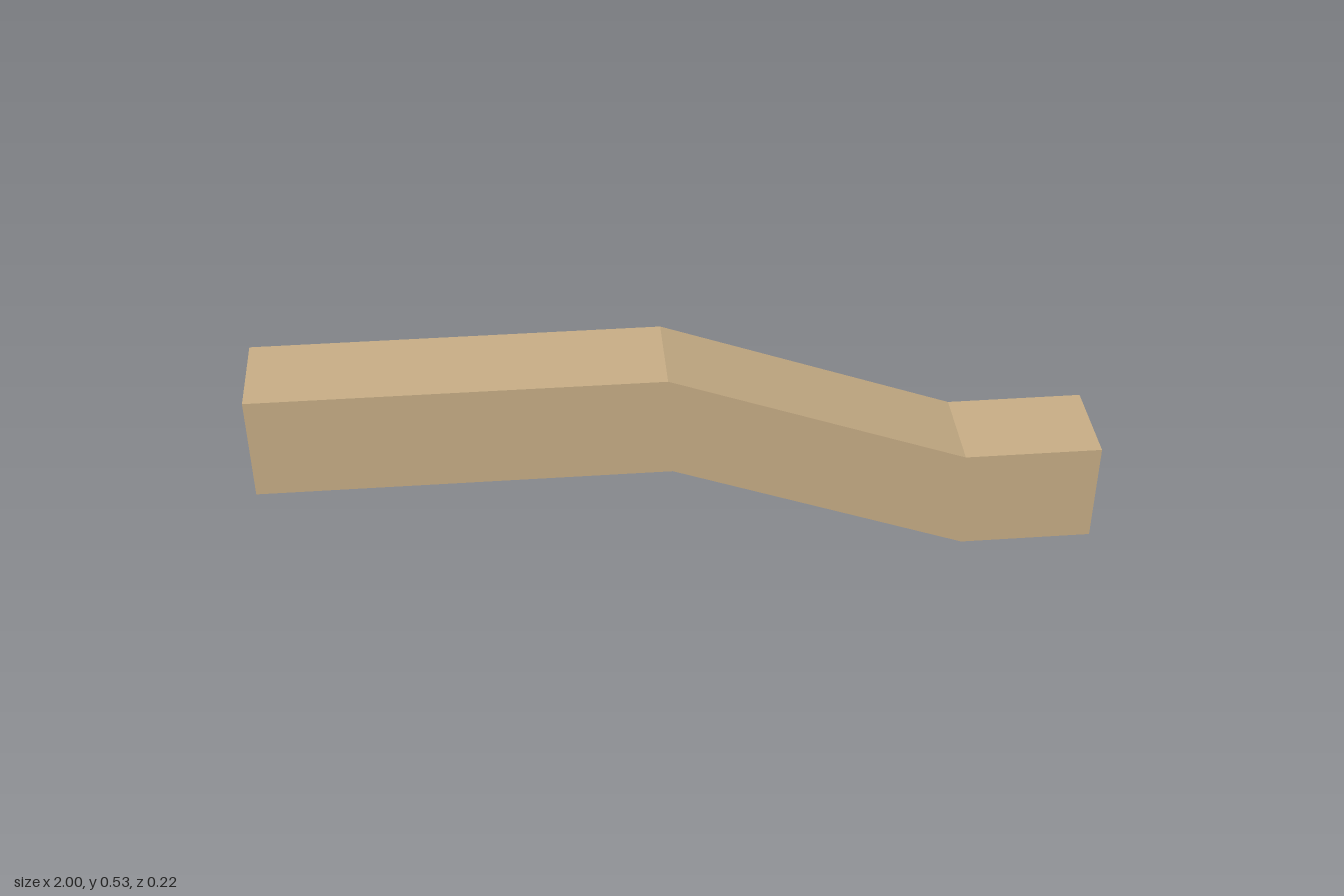
import * as THREE from 'three';

export function createModel() {
  const group = new THREE.Group();
  const tan = new THREE.MeshStandardMaterial({ color: 0xc8ae86 });
  tan.name = 'tan';

  // Side profile of the duct: bottom and top points at each mitred joint
  const stations = [
    { bottom: [-1, 0.27], top: [-1, 0.53] },
    { bottom: [-0.03, 0.27], top: [-0.04, 0.53] },
    { bottom: [0.68, 0], top: [0.67, 0.262] },
    { bottom: [1, 0], top: [1, 0.262] },
  ];

  // Four corners of a rectangular section, inset in height and width
  const section = ({ bottom, top }, insetY, halfWidth) => {
    const f = insetY / (top[1] - bottom[1]);
    const at = (t, z) => new THREE.Vector3(
      THREE.MathUtils.lerp(bottom[0], top[0], t),
      THREE.MathUtils.lerp(bottom[1], top[1], t), z);
    return [at(f, -halfWidth), at(f, halfWidth), at(1 - f, halfWidth), at(1 - f, -halfWidth)];
  };

  // Outer skin forwards, inner skin backwards: closing the loop makes both end rims
  const rings = [
    ...stations.map((s) => section(s, 0, 0.112)),
    ...[...stations].reverse().map((s) => section(s, 0.024, 0.092)),
  ];
  const points = [];
  rings.forEach((a, k) => {
    const b = rings[(k + 1) % rings.length];
    for (let i = 0; i < 4; i++) {
      const j = (i + 1) % 4;
      points.push(a[i], b[i], b[j], a[i], b[j], a[j]);
    }
  });

  const geometry = new THREE.BufferGeometry().setFromPoints(points);
  geometry.computeVertexNormals();
  const duct = new THREE.Mesh(geometry, tan);
  duct.name = 'hollowOffsetDuct';
  group.add(duct);
  return group;
}
